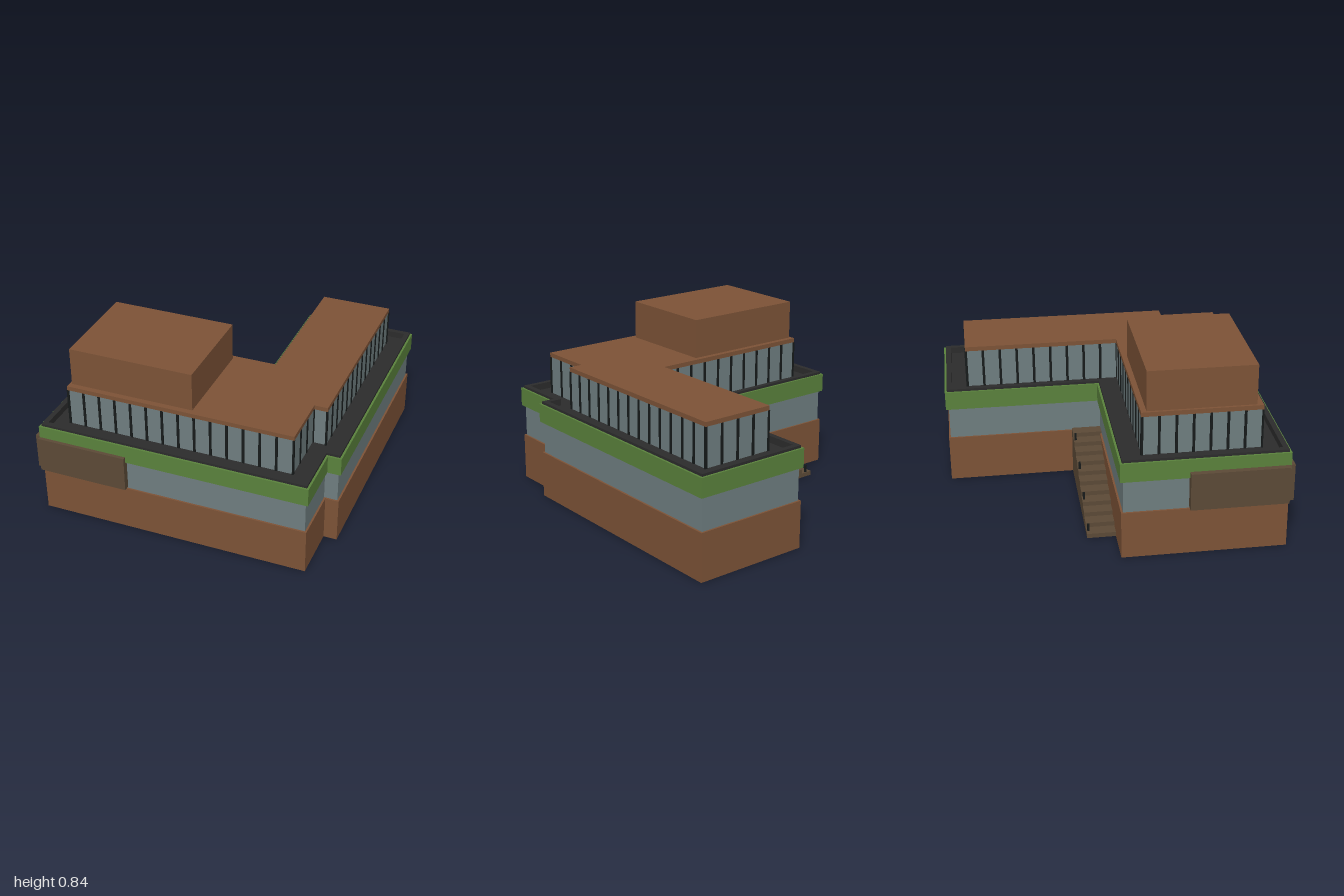
import * as THREE from 'three';

const mat = (name, color) => Object.assign(new THREE.MeshStandardMaterial({ color }), { name });

// L-shaped footprint (u, v), moved inwards by d
const footprint = (d) => {
  const left = -0.802 + d, right = 0.539 - d, wingRight = 0.604 - d, wingLeft = 0.035 + d;
  const back = -0.187 + d, front = 0.571 - d, notch = 0.3 - d, wingBack = -0.922 + d;
  return [
    [left, back], [left, front], [right, front], [right, notch],
    [wingRight, notch], [wingRight, wingBack], [wingLeft, wingBack], [wingLeft, back],
  ];
};
const toPoints = (d) => footprint(d).map(([u, v]) => new THREE.Vector2(u, -v));

export function createModel() {
  const brown = mat('brown cladding', 0x7d5337);
  const green = mat('green parapet', 0x5a823c);
  const grey = mat('blue grey wall', 0x6f7e80);
  const dark = mat('dark roofing', 0x2c2c2c);
  const black = mat('black metal', 0x161a1a);
  const timber = mat('dark timber', 0x5c4a37);

  const model = new THREE.Group();
  model.name = 'building';
  const body = new THREE.Group();
  body.name = 'rotatedBuilding';
  body.rotation.y = -THREE.MathUtils.degToRad(31.5);
  model.add(body);

  const add = (name, geometry, material, parent = body) => {
    const mesh = new THREE.Mesh(geometry, material);
    mesh.name = name;
    parent.add(mesh);
    return mesh;
  };

  // Storey in the footprint's shape, or a ring when holeInset is given
  const storey = (name, material, inset, y0, y1, holeInset) => {
    const shape = new THREE.Shape(toPoints(inset));
    if (holeInset) shape.holes.push(new THREE.Path(toPoints(holeInset)));
    const geometry = new THREE.ExtrudeGeometry(shape, { depth: y1 - y0, bevelEnabled: false });
    geometry.rotateX(-Math.PI / 2).translate(0, y0, 0);
    return add(name, geometry, material);
  };

  const block = (name, material, u0, u1, y0, y1, v0, v1, parent) => {
    const geometry = new THREE.BoxGeometry(u1 - u0, y1 - y0, v1 - v0);
    geometry.translate((u0 + u1) / 2, (y0 + y1) / 2, (v0 + v1) / 2);
    return add(name, geometry, material, parent);
  };

  storey('groundFloor', brown, 0.005, 0, 0.225);
  storey('middleFloor', grey, 0.014, 0.225, 0.39);
  storey('greenParapet', green, 0, 0.38, 0.47, 0.03);
  storey('terraceDeck', dark, 0.025, 0.385, 0.45);
  storey('parapetCoping', dark, 0.01, 0.44, 0.482, 0.035);
  storey('upperGlazing', grey, 0.111, 0.45, 0.635);
  storey('upperRoof', brown, 0.108, 0.635, 0.656);

  // Mullions along every upper wall
  const mullions = new THREE.Group();
  mullions.name = 'mullions';
  body.add(mullions);
  const corners = footprint(0.111);
  corners.forEach(([u0, v0], i) => {
    const [u1, v1] = corners[(i + 1) % corners.length];
    const length = Math.hypot(u1 - u0, v1 - v0);
    const panes = Math.max(1, Math.round(length / 0.08));
    for (let k = 0; k < panes; k++) {
      const t = k / panes;
      const bar = add('mullion', new THREE.BoxGeometry(0.012, 0.185, 0.008), black, mullions);
      bar.position.set(u0 + (u1 - u0) * t, 0.5425, v0 + (v1 - v0) * t);
      bar.rotation.y = -Math.atan2(v1 - v0, u1 - u0);
    }
  });

  // Rooftop volume
  block('penthouse', brown, -0.682, -0.069, 0.65, 0.844, -0.054, 0.435);

  // Timber panels meeting at the front corner
  block('frontPanel', timber, -0.802, -0.355, 0.232, 0.41, 0.545, 0.588);
  block('sidePanel', timber, -0.828, -0.776, 0.232, 0.41, 0.12, 0.563);

  // Outside staircase, rising towards the wing
  const steps = 11, bottomU = -0.613, topU = 0.045, topY = 0.235;
  const run = (topU - bottomU) / steps, rise = topY / steps;
  const profile = new THREE.Shape();
  profile.moveTo(bottomU, 0);
  for (let i = 0; i < steps; i++) {
    profile.lineTo(bottomU + i * run, (i + 1) * rise);
    profile.lineTo(bottomU + (i + 1) * run, (i + 1) * rise);
  }
  profile.lineTo(topU, 0);
  const stairs = new THREE.ExtrudeGeometry(profile, { depth: 0.14, bevelEnabled: false });
  add('staircase', stairs.translate(0, 0, -0.314), timber);

  // Short posts on the open side of the stairs
  for (let i = 0; i < 4; i++) {
    const step = i * 3;
    const u = bottomU + (step + 0.5) * run, y = (step + 1) * rise;
    block('stairPost', black, u - 0.005, u + 0.005, y, y + 0.035, -0.31, -0.3);
  }

  return model;
}
